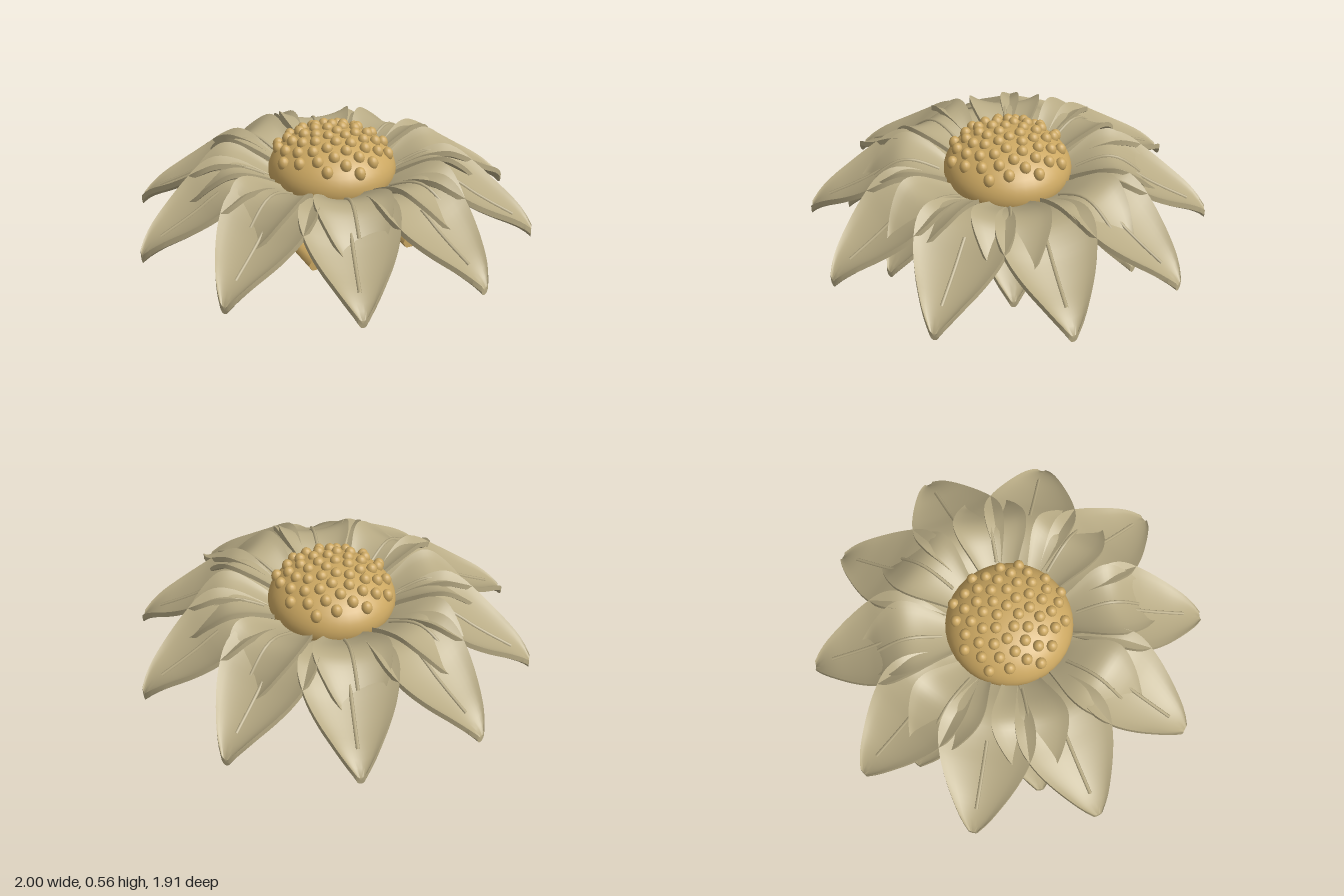
import * as THREE from 'three';
import { toCreasedNormals } from 'three/addons/utils/BufferGeometryUtils.js';

const petalMat = new THREE.MeshStandardMaterial({ name: 'dull olive', color: 0xb7aa84 });
const goldMat = new THREE.MeshStandardMaterial({ name: 'old gold', color: 0xcba761 });

// Smooth curve through [radius, value] pairs
function curveOf(pairs) {
  return new THREE.SplineCurve(pairs.map(([r, v]) => new THREE.Vector2(r, v)));
}

// Value of a curve at a given radius
function valueAt(curve, r) {
  let lo = 0, hi = 1;
  for (let k = 0; k < 24; k++) {
    const mid = (lo + hi) / 2;
    if (curve.getPoint(mid).x < r) lo = mid; else hi = mid;
  }
  return curve.getPoint(lo).y;
}

// Petal swept along +x: cupped cross-section, thinner at the edges, with closed ends
function petalGeometry(heights, widths, r0, r1, thick) {
  const rows = 26, cols = 14, ring = 2 * (cols + 1);
  const pos = [], index = [];
  for (let i = -1; i <= rows + 1; i++) {
    const t = Math.min(Math.max(i / rows, 0), 1);
    const r = r0 + (r1 - r0) * t;
    const closed = i < 0 || i > rows;
    const w = closed ? 0 : valueAt(widths, r);
    const y = valueAt(heights, r);
    for (let j = 0; j < ring; j++) {
      const top = j <= cols;
      const u = ((top ? j : ring - 1 - j) / cols) * 2 - 1;
      const cup = closed ? 0 : (0.008 + 0.2 * w) * u * u + (top ? 0.006 * Math.pow(Math.abs(u), 8) : 0);
      const depth = closed ? thick / 2 : (top ? 0 : thick * (1 - 0.35 * u * u * u * u));
      pos.push(r, y + cup - depth, u * w);
    }
  }
  for (let i = 0; i < rows + 2; i++) {
    for (let j = 0; j < ring; j++) {
      const a = i * ring + j, b = i * ring + ((j + 1) % ring);
      index.push(a, b, a + ring, b, b + ring, a + ring);
    }
  }
  const geo = new THREE.BufferGeometry();
  geo.setAttribute('position', new THREE.Float32BufferAttribute(pos, 3));
  geo.setIndex(index);
  return toCreasedNormals(geo, 0.8);
}

// Raised vein lying on the petal's centre line
function veinGeometry(heights, from, to) {
  const pts = [];
  for (let k = 0; k <= 6; k++) {
    const r = from + ((to - from) * k) / 6;
    pts.push(new THREE.Vector3(r, valueAt(heights, r) + 0.002, 0));
  }
  return new THREE.TubeGeometry(new THREE.CatmullRomCurve3(pts), 10, 0.009, 6);
}

function petalRing(name, count, offset, geo, vein) {
  const ring = new THREE.Group();
  ring.name = name;
  for (let i = 0; i < count; i++) {
    const petal = new THREE.Group();
    petal.name = 'petal';
    const blade = new THREE.Mesh(geo, petalMat);
    blade.name = 'petalBlade';
    const rib = new THREE.Mesh(vein, petalMat);
    rib.name = 'petalVein';
    petal.add(blade, rib);
    petal.rotation.y = offset + (i / count) * Math.PI * 2;
    ring.add(petal);
  }
  return ring;
}

export function createModel() {
  const model = new THREE.Group();
  model.name = 'flower';

  // Ten long outer petals, rising from the head and drooping to the tips
  const outerH = curveOf([[0.25, 0.262], [0.34, 0.308], [0.43, 0.348], [0.53, 0.356], [0.62, 0.316], [0.7, 0.265], [0.8, 0.21], [0.9, 0.16], [0.96, 0.12], [1, 0.08]]);
  const outerW = curveOf([[0.25, 0.07], [0.4, 0.16], [0.5, 0.212], [0.6, 0.234], [0.7, 0.213], [0.8, 0.168], [0.9, 0.107], [0.96, 0.062], [1, 0.02]]);
  model.add(petalRing('outerPetals', 10, 0,
    petalGeometry(outerH, outerW, 0.25, 0.998, 0.036), veinGeometry(outerH, 0.6, 0.9)));

  // Eight shorter inner petals that arch higher and dip through the outer ring
  const innerH = curveOf([[0.25, 0.28], [0.36, 0.342], [0.46, 0.383], [0.54, 0.38], [0.63, 0.32], [0.7, 0.25], [0.8, 0.145]]);
  const innerW = curveOf([[0.25, 0.07], [0.36, 0.125], [0.46, 0.172], [0.55, 0.183], [0.65, 0.145], [0.74, 0.08], [0.8, 0.02]]);
  model.add(petalRing('innerPetals', 8, Math.PI / 6,
    petalGeometry(innerH, innerW, 0.25, 0.8, 0.032), veinGeometry(innerH, 0.34, 0.66)));

  // Domed seed head
  const head = new THREE.Mesh(new THREE.SphereGeometry(0.317, 40, 24), goldMat);
  head.name = 'seedHead';
  head.scale.y = 0.19 / 0.317;
  head.position.y = 0.34;
  model.add(head);

  // Seeds in a golden-angle spiral over the dome
  const seedGeo = new THREE.SphereGeometry(0.028, 14, 10);
  const seeds = new THREE.Group();
  seeds.name = 'seeds';
  const count = 55;
  for (let i = 0; i < count; i++) {
    const r = 0.288 * Math.sqrt((i + 0.5) / count);
    const a = i * 2.39996;
    const seed = new THREE.Mesh(seedGeo, goldMat);
    seed.name = 'seed';
    const y = 0.34 + 0.19 * Math.sqrt(1 - (r / 0.317) ** 2);
    seed.position.set(r * Math.cos(a), y, r * Math.sin(a));
    seed.scale.y = 0.95 + 0.3 * (r / 0.288);
    seeds.add(seed);
  }
  model.add(seeds);

  // Small stub under the seed head
  const stub = new THREE.Mesh(new THREE.CylinderGeometry(0.035, 0.035, 0.02, 20), goldMat);
  stub.name = 'stub';
  stub.position.y = 0.157;
  model.add(stub);

  // Two six-sided bars below, softly shaded along their sides
  const barGeo = new THREE.CylinderGeometry(0.034, 0.034, 0.7, 6);
  barGeo.rotateY(Math.PI / 2);
  barGeo.rotateX(Math.PI / 2);
  for (const side of [-1, 1]) {
    const bar = new THREE.Mesh(barGeo, goldMat);
    bar.name = side > 0 ? 'leftBar' : 'rightBar';
    bar.position.set(side * 0.255, 0.0295, 0);
    model.add(bar);
  }
  return model;
}
